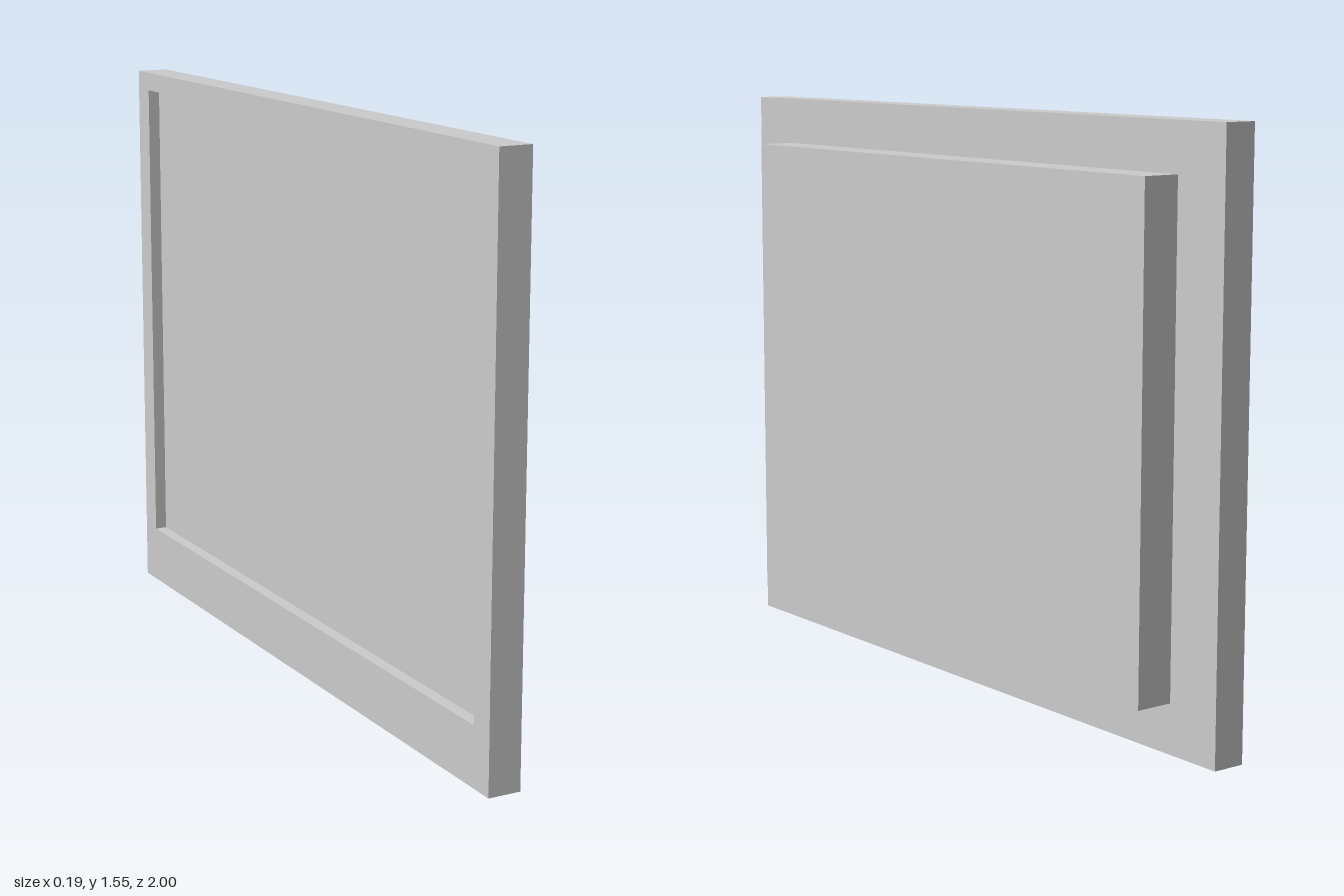
import * as THREE from 'three';

const HEIGHT = 1.546;
const BACK_X = -0.097, SEAM_X = -0.008, FRONT_X = 0.095;

// Rectangle in a plane of constant x, counter-clockwise as seen from -x
function ring(x, halfZ, y0, y1) {
  return [[x, y0, -halfZ], [x, y0, halfZ], [x, y1, halfZ], [x, y1, -halfZ]];
}

// Joins successive rings with flat quads and caps both ends
function loftRings(rings) {
  const points = [];
  const quad = (a, b, c, d) => points.push(...a, ...b, ...c, ...a, ...c, ...d);
  quad(...rings[0]);
  for (let i = 0; i < rings.length - 1; i++) {
    for (let k = 0; k < 4; k++) {
      const n = (k + 1) % 4;
      quad(rings[i][k], rings[i + 1][k], rings[i + 1][n], rings[i][n]);
    }
  }
  quad(...[...rings[rings.length - 1]].reverse());
  const geometry = new THREE.BufferGeometry();
  geometry.setAttribute('position', new THREE.Float32BufferAttribute(points, 3));
  geometry.computeVertexNormals();
  return geometry;
}

export function createModel() {
  const group = new THREE.Group();
  group.name = 'panel';
  const material = new THREE.MeshStandardMaterial({ color: 0xcccccc, flatShading: true });

  // Main slab with a shallow recess sunk into its -x face
  const slab = new THREE.Mesh(loftRings([
    ring(BACK_X + 0.033, 0.93, 0.16, 1.495), // recess floor
    ring(BACK_X, 0.93, 0.16, 1.495),         // recess rim
    ring(BACK_X, 1, 0, HEIGHT),              // outer edge
    ring(SEAM_X, 1, 0, HEIGHT),              // opposite face
  ]), material);
  slab.name = 'recessedSlab';
  group.add(slab);

  // Smaller raised block on the +x face
  const y0 = 0.13, y1 = 1.418;
  const block = new THREE.Mesh(
    new THREE.BoxGeometry(FRONT_X - SEAM_X, y1 - y0, 1.674), material);
  block.position.set((FRONT_X + SEAM_X) / 2, (y0 + y1) / 2, 0);
  block.name = 'raisedBlock';
  group.add(block);

  return group;
}
